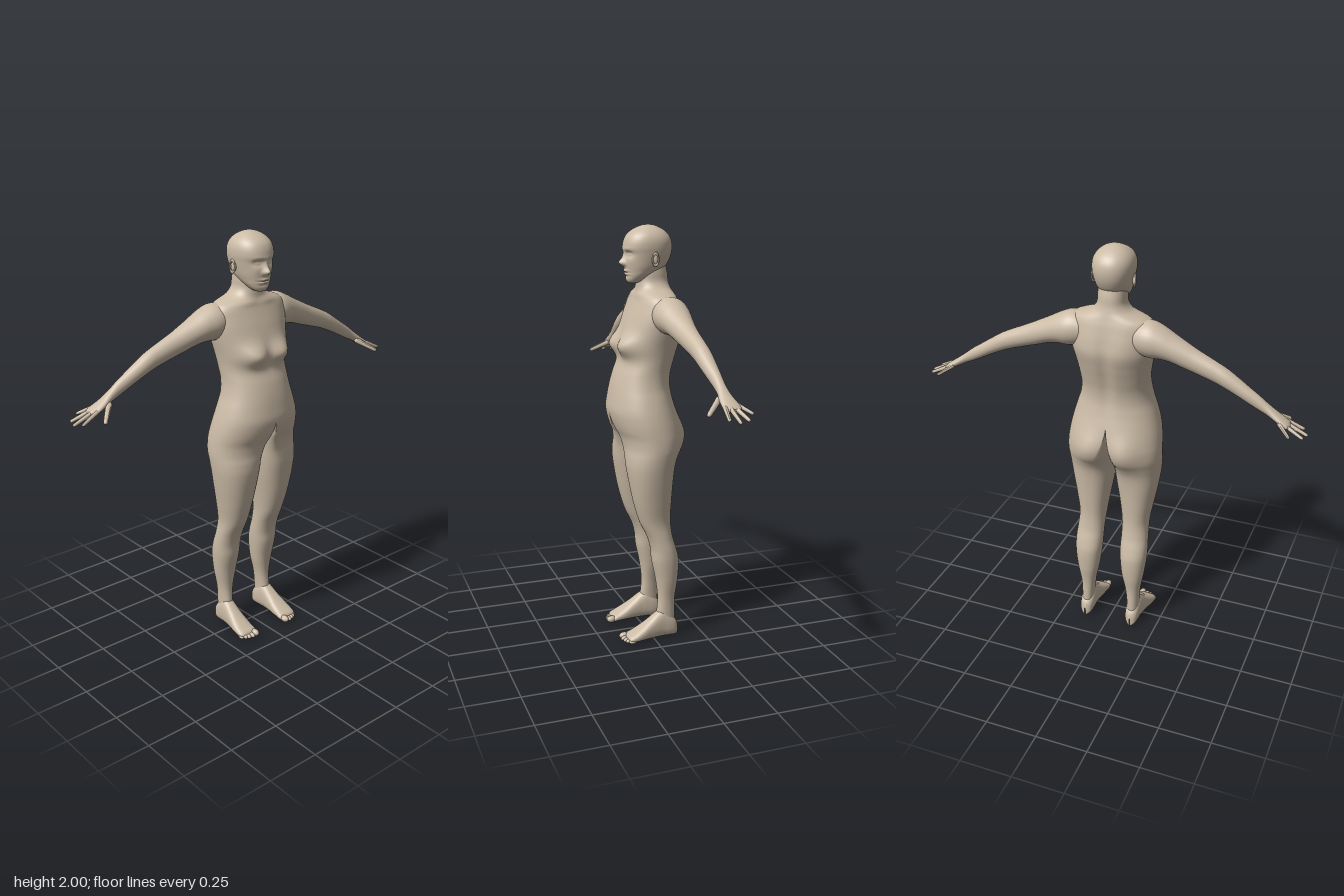
import * as THREE from 'three';
import { mergeGeometries, mergeVertices } from 'three/addons/utils/BufferGeometryUtils.js';

// Smooth interpolation of key rows [t, a, b, ...] with cubic Hermite pieces
function sample(keys, t) {
  let i = 0;
  while (i < keys.length - 2 && t > keys[i + 1][0]) i++;
  const k0 = keys[i], k1 = keys[i + 1], h = k1[0] - k0[0];
  const s = Math.min(1, Math.max(0, (t - k0[0]) / h));
  const slope = (j, c) => {
    const a = keys[Math.max(0, j - 1)], b = keys[Math.min(keys.length - 1, j + 1)];
    return (b[c] - a[c]) / (b[0] - a[0]);
  };
  const s2 = s * s, s3 = s2 * s;
  return k0.slice(1).map((v, n) => {
    const c = n + 1;
    return (2 * s3 - 3 * s2 + 1) * v + (s3 - 2 * s2 + s) * h * slope(i, c)
      + (3 * s2 - 2 * s3) * k1[c] + (s3 - s2) * h * slope(i + 1, c);
  });
}

// Skin between equal closed rings; faces lying on the centre plane are left out
function loft(rings) {
  const n = rings[0].length, pos = rings.flat(), index = [];
  const tri = (a, b, c) => {
    if ([a, b, c].some((v) => Math.abs(pos[v][0]) > 1e-5)) index.push(a, b, c);
  };
  for (let j = 0; j < rings.length - 1; j++) for (let i = 0; i < n; i++) {
    const a = j * n + i, b = j * n + (i + 1) % n;
    tri(a, a + n, b);
    tri(b, a + n, b + n);
  }
  const geo = new THREE.BufferGeometry();
  geo.setAttribute('position', new THREE.Float32BufferAttribute(pos.flat(), 3));
  geo.setIndex(index);
  geo.computeVertexNormals();
  return geo;
}

function mirror(geo) {
  const m = geo.clone().scale(-1, 1, 1), ix = m.index.array;
  for (let i = 0; i < ix.length; i += 3) [ix[i], ix[i + 1]] = [ix[i + 1], ix[i]];
  return m;
}

const spow = (v, e) => Math.sign(v) * Math.pow(Math.abs(v), e);

// Left half from rows [y, ridge x, inner x, outer x, front z, back z], joined to its mirror.
// Bumps are [x, y, spread x, spread y, z shift, side], side 1 front or -1 back.
function symmetric(keys, rows, arc, bumps) {
  const y0 = keys[0][0], y1 = keys[keys.length - 1][0], rings = [];
  for (let j = 0; j <= rows; j++) {
    const y = y0 + (y1 - y0) * j / rows;
    const [ridge, inner, outer, zf, zb] = sample(keys, y);
    const c = Math.max(0, ridge), xi = Math.min(c, Math.max(0, inner)), ring = [];
    for (let i = 0; i < arc * 1.5; i++) {
      const a = i <= arc ? -Math.PI / 2 + Math.PI * i / arc : Math.PI / 2 + Math.PI * (i - arc) / (arc / 2);
      const co = Math.abs(i === arc || i === 0 ? 0 : Math.cos(a)), si = Math.sin(a);
      const x = Math.max(0, i <= arc ? c + (outer - c) * Math.pow(co, 0.92) : c - (c - xi) * Math.pow(co, 0.85));
      let z = (zf + zb) / 2 + (zf - zb) / 2 * spow(si, 0.92);
      for (const [bx, by, sx, sy, dz, side] of bumps) {
        z += dz * Math.max(0, si * side) * Math.exp(-(((x - bx) / sx) ** 2 + ((y - by) / sy) ** 2) / 2);
      }
      ring.push([x, y, z]);
    }
    rings.push(ring);
  }
  const half = loft(rings);
  half.deleteAttribute('normal');
  const whole = mergeVertices(mergeGeometries([half, mirror(half)]), 1e-5);
  whole.computeVertexNormals();
  return whole;
}

function ellipsoid(x, y, z, rx, ry, rz, turn = 0) {
  const g = new THREE.SphereGeometry(1, 18, 12).scale(rx, ry, rz).rotateY(turn).translate(x, y, z);
  g.deleteAttribute('uv');
  return g;
}

// Tapered finger from knuckle a to tip b
function finger(a, b, r) {
  const from = new THREE.Vector3(...a), to = new THREE.Vector3(...b), d = to.clone().sub(from), len = d.length();
  const g = new THREE.CapsuleGeometry(r, len - r, 6, 12, 4), p = g.attributes.position;
  for (let i = 0; i < p.count; i++) {
    const k = 0.88 - 0.3 * p.getY(i) / len;
    p.setX(i, p.getX(i) * k);
    p.setZ(i, p.getZ(i) * k);
  }
  g.deleteAttribute('uv');
  g.computeVertexNormals();
  g.applyQuaternion(new THREE.Quaternion().setFromUnitVectors(new THREE.Vector3(0, 1, 0), d.normalize()));
  const m = from.add(to).multiplyScalar(0.5);
  return g.translate(m.x, m.y, m.z);
}

// Legs, torso and neck: [y, ridge x, inner x, outer x, front z, back z]
const legKeys = [
  [0.05, 0.124, 0.094, 0.154, -0.025, -0.115], [0.1, 0.124, 0.094, 0.154, -0.022, -0.114],
  [0.2, 0.122, 0.085, 0.158, -0.03, -0.115], [0.3, 0.12, 0.065, 0.175, -0.02, -0.128],
  [0.4, 0.12, 0.053, 0.187, 0, -0.131], [0.46, 0.12, 0.05, 0.188, 0.005, -0.118],
  [0.52, 0.118, 0.05, 0.184, 0.022, -0.1], [0.6, 0.115, 0.046, 0.181, 0.06, -0.09],
  [0.7, 0.115, 0.032, 0.197, 0.09, -0.093], [0.8, 0.112, 0.015, 0.215, 0.11, -0.1],
  [0.88, 0.1, 0.005, 0.227, 0.122, -0.11], [0.93, 0.085, 0, 0.232, 0.124, -0.125],
];
const torsoKeys = [
  [0.97, 0.06, 0, 0.234, 0.125, -0.142], [1.02, 0.035, 0, 0.232, 0.136, -0.15],
  [1.06, 0.018, 0, 0.228, 0.155, -0.15], [1.1, 0.006, 0, 0.222, 0.169, -0.145],
  [1.145, 0, 0, 0.212, 0.177, -0.136], [1.2, 0, 0, 0.196, 0.171, -0.122],
  [1.26, 0, 0, 0.177, 0.16, -0.112], [1.32, 0, 0, 0.168, 0.143, -0.116],
  [1.385, 0, 0, 0.17, 0.118, -0.132], [1.45, 0, 0, 0.18, 0.116, -0.15],
  [1.52, 0, 0, 0.195, 0.105, -0.163], [1.58, 0, 0, 0.204, 0.086, -0.156],
  [1.63, 0, 0, 0.204, 0.066, -0.146], [1.66, 0, 0, 0.197, 0.054, -0.139],
  [1.682, 0, 0, 0.172, 0.045, -0.132], [1.695, 0, 0, 0.13, 0.04, -0.128],
  [1.71, 0, 0, 0.094, 0.038, -0.123], [1.74, 0, 0, 0.07, 0.036, -0.115],
  [1.78, 0, 0, 0.066, 0.035, -0.11], [1.82, 0, 0, 0.064, 0.03, -0.1],
];
const bodyBumps = [
  [0.085, 1.45, 0.05, 0.036, 0.048, 1],   // breast
  [0.095, 1.02, 0.055, 0.06, -0.028, -1], // buttock
  [0, 1.42, 0.022, 0.14, 0.014, -1],      // spine
  [0.1, 1.56, 0.04, 0.06, -0.008, -1],    // shoulder blade
  [0.06, 1.685, 0.04, 0.01, 0.006, 1],    // collarbone
];

// Head: [y, half width, front z, back z]
const headKeys = [
  [1.731, 0.002, 0.06, 0.056], [1.735, 0.022, 0.075, 0.035], [1.742, 0.036, 0.083, 0.015],
  [1.755, 0.049, 0.088, -0.01], [1.772, 0.061, 0.09, -0.04], [1.79, 0.07, 0.092, -0.075],
  [1.81, 0.078, 0.094, -0.1], [1.84, 0.086, 0.094, -0.118], [1.87, 0.092, 0.096, -0.128],
  [1.9, 0.096, 0.1, -0.131], [1.93, 0.094, 0.094, -0.126], [1.955, 0.084, 0.08, -0.112],
  [1.975, 0.066, 0.056, -0.09], [1.99, 0.042, 0.026, -0.062], [1.998, 0.018, 0, -0.037],
  [2, 0.001, -0.018, -0.02],
].map(([y, w, f, b]) => [y, 0, 0, w, f, b]);
const headBumps = [
  [0, 1.828, 0.011, 0.011, 0.023, 1], [0, 1.85, 0.009, 0.02, 0.012, 1], // nose
  [0.014, 1.823, 0.007, 0.007, 0.006, 1],                               // nostril wing
  [0.036, 1.868, 0.016, 0.011, -0.015, 1], [0.036, 1.866, 0.01, 0.006, 0.007, 1], // socket, eye
  [0.032, 1.888, 0.025, 0.008, 0.004, 1], [0.046, 1.835, 0.016, 0.016, 0.004, 1], // brow, cheek
  [0, 1.791, 0.018, 0.005, 0.007, 1], [0, 1.777, 0.016, 0.005, 0.007, 1],         // lips
  [0, 1.784, 0.022, 0.0025, -0.006, 1], [0, 1.766, 0.02, 0.005, -0.004, 1],       // mouth line, dip
];

// Arm and palm: [x, top y, bottom y, front z, back z]
const armKeys = [
  [0.1, 1.665, 1.54, 0.0, -0.125], [0.16, 1.682, 1.52, 0.022, -0.142], [0.2, 1.682, 1.514, 0.024, -0.146],
  [0.25, 1.662, 1.515, 0.014, -0.139], [0.3, 1.635, 1.507, 0.002, -0.13], [0.35, 1.61, 1.491, -0.01, -0.122],
  [0.4, 1.585, 1.476, -0.02, -0.116], [0.5, 1.54, 1.445, -0.033, -0.112], [0.55, 1.515, 1.425, -0.036, -0.112],
  [0.6, 1.483, 1.402, -0.041, -0.11], [0.65, 1.45, 1.377, -0.048, -0.107], [0.7, 1.417, 1.352, -0.054, -0.103],
  [0.74, 1.386, 1.334, -0.054, -0.103], [0.78, 1.356, 1.313, -0.047, -0.112], [0.82, 1.329, 1.296, -0.045, -0.123],
  [0.84, 1.315, 1.291, -0.05, -0.12], [0.848, 1.306, 1.296, -0.07, -0.1],
];
const fingers = [
  [[0.755, 1.335, -0.06], [0.825, 1.285, 0.016], 0.014],
  [[0.82, 1.313, -0.056], [0.9, 1.276, -0.042], 0.0105],
  [[0.825, 1.31, -0.077], [0.922, 1.268, -0.082], 0.0105],
  [[0.82, 1.31, -0.098], [0.91, 1.272, -0.124], 0.0105],
  [[0.8, 1.318, -0.112], [0.857, 1.285, -0.164], 0.0095],
];

// Foot: [z, centre x, half width, height]
const footKeys = [
  [-0.131, 0.124, 0.002, 0.045], [-0.126, 0.124, 0.018, 0.068], [-0.112, 0.124, 0.03, 0.09],
  [-0.085, 0.124, 0.036, 0.118], [-0.05, 0.125, 0.037, 0.14], [-0.02, 0.127, 0.038, 0.128],
  [0.02, 0.129, 0.042, 0.098], [0.06, 0.131, 0.048, 0.07], [0.1, 0.132, 0.05, 0.046],
  [0.13, 0.129, 0.046, 0.03], [0.137, 0.128, 0.03, 0.02],
];

// Rings of n points along a key table, each point placed by a rule
function sweep(keys, rows, n, place) {
  const t0 = keys[0][0], t1 = keys[keys.length - 1][0];
  return loft(Array.from({ length: rows + 1 }, (_, j) => {
    const t = t0 + (t1 - t0) * j / rows, k = sample(keys, t);
    return Array.from({ length: n }, (_, i) => place(t, k, Math.cos(2 * Math.PI * i / n), -Math.sin(2 * Math.PI * i / n)));
  }));
}

export function createModel() {
  const model = new THREE.Group();
  const skin = new THREE.MeshStandardMaterial({ color: 0xcbbba6 });
  skin.name = 'skin';
  const add = (name, geo) => {
    const mesh = new THREE.Mesh(geo, skin);
    mesh.name = name;
    model.add(mesh);
  };
  const pair = (name, geo) => {
    add('left' + name, geo);
    add('right' + name, mirror(geo));
  };

  add('body', symmetric([...legKeys, ...torsoKeys], 190, 36, bodyBumps));
  add('head', symmetric(headKeys, 100, 60, headBumps));

  // Ear shell with a raised rim
  const rim = new THREE.TorusGeometry(0.018, 0.0045, 8, 24).scale(0.75, 1.5, 1)
    .rotateY(Math.PI / 2 - 0.3).translate(0.098, 1.846, -0.022);
  rim.deleteAttribute('uv');
  pair('Ear', mergeGeometries([rim, ellipsoid(0.092, 1.845, -0.02, 0.007, 0.026, 0.014, -0.3)]));

  pair('Arm', sweep(armKeys, 90, 32, (x, [top, bottom, f, b], c, s) =>
    [x, (top + bottom) / 2 + (top - bottom) / 2 * c, (f + b) / 2 + (f - b) / 2 * s]));
  pair('Fingers', mergeGeometries(fingers.map((f) => finger(...f))));

  pair('Foot', sweep(footKeys, 60, 32, (z, [x, w, h], c, s) =>
    [x + w * spow(c, 0.8), h / 2 + h / 2 * spow(s, 0.8), z]));
  const toes = [[0.1, 0.14, 0.017], [0.123, 0.143, 0.012], [0.142, 0.138, 0.011], [0.158, 0.13, 0.0105], [0.172, 0.118, 0.01]];
  pair('Toes', mergeGeometries(toes.map(([x, z, r]) => ellipsoid(x, r, z, r, r, r + 0.008))));
  return model;
}
